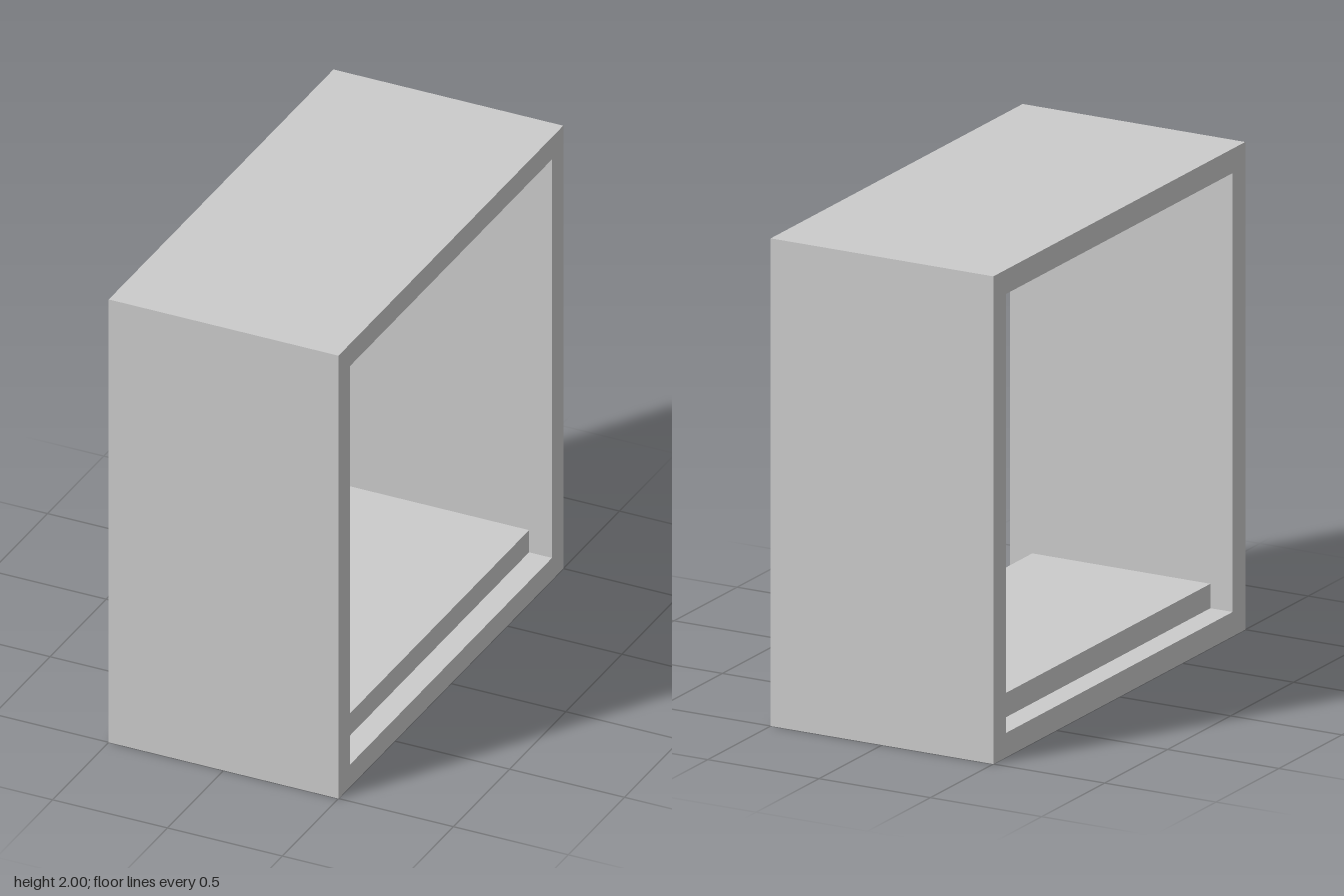
import * as THREE from 'three';

export function createModel() {
  const group = new THREE.Group();
  const material = new THREE.MeshStandardMaterial({ color: 0xcccccc });
  const width = 1, size = 2, wall = 0.1;

  // Square frame, open through its left and right sides
  const rect = (Path, half) => new Path([
    new THREE.Vector2(-half, -half), new THREE.Vector2(half, -half),
    new THREE.Vector2(half, half), new THREE.Vector2(-half, half),
  ]);
  const outline = rect(THREE.Shape, size / 2);
  outline.holes.push(rect(THREE.Path, size / 2 - wall));
  const frameGeometry = new THREE.ExtrudeGeometry(outline, { depth: width, bevelEnabled: false });
  frameGeometry.translate(0, 0, -width / 2).rotateY(Math.PI / 2);
  const frame = new THREE.Mesh(frameGeometry, material);
  frame.name = 'frame';
  frame.position.y = size / 2;
  group.add(frame);

  // Raised floor slab, set back from both open sides
  const slab = new THREE.Mesh(
    new THREE.BoxGeometry(width - 2 * wall, wall, size - 2 * wall), material);
  slab.name = 'floorSlab';
  slab.position.y = wall * 1.5;
  group.add(slab);

  return group;
}
